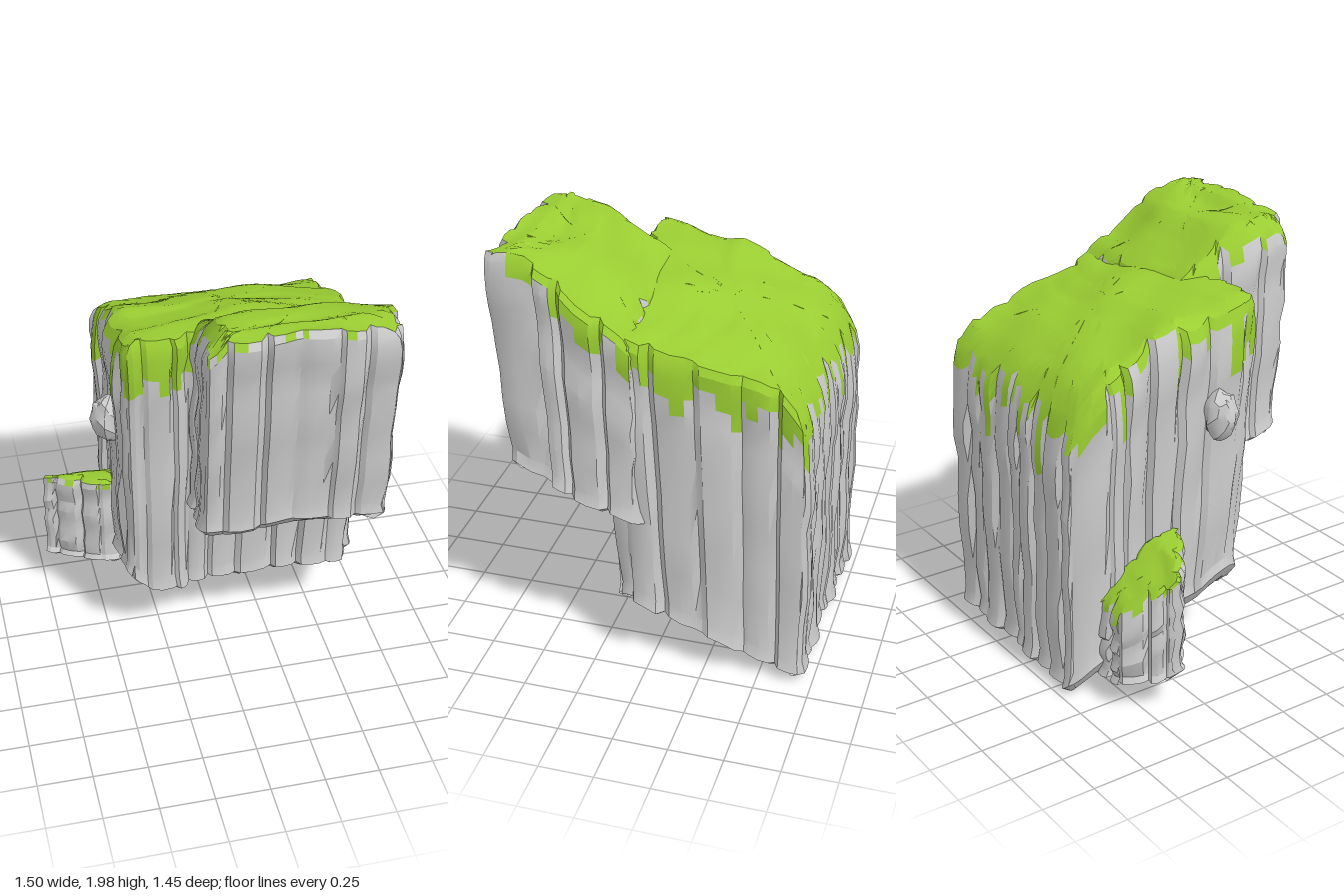
import * as THREE from 'three';
import { toCreasedNormals } from 'three/addons/utils/BufferGeometryUtils.js';

const rockMat = new THREE.MeshStandardMaterial({ color: 0xcccccc });
const mossMat = new THREE.MeshStandardMaterial({ color: 0x9acd32 });
const { lerp, smoothstep, clamp } = THREE.MathUtils;

// small seeded random generator
function seeded(seed) {
  return () => {
    seed = (seed * 16807) % 2147483647;
    return seed / 2147483647;
  };
}

// piecewise linear curve through [position, value] pairs, rising in position
function curve(points) {
  return (p) => {
    let i = 1;
    while (i < points.length - 1 && p > points[i][0]) i++;
    const [p0, v0] = points[i - 1], [p1, v1] = points[i];
    return lerp(v0, v1, clamp((p - p0) / (p1 - p0), 0, 1));
  };
}

// uneven ground: soft bumps plus low ledges running across
const bumps = (x, z) => 0.01 * Math.sin(11 * x + 3 * z) * Math.sin(4 * x - 13 * z)
  + 0.008 * Math.tanh(3 * Math.sin(17 * z + 1.5 * Math.sin(5 * x)));

// Walk the outline and cut it into upright stone columns of uneven width and depth
function makeColumns(outline, width, rand, drip) {
  const samples = [];
  outline.forEach(([x0, z0], k) => {
    const [x1, z1] = outline[(k + 1) % outline.length];
    const length = Math.hypot(x1 - x0, z1 - z0);
    const nx = -(z1 - z0) / length, nz = (x1 - x0) / length;
    const count = Math.max(1, Math.round(length / width));
    const cuts = Array.from({ length: count + 1 }, (_, i) => (i === 0 || i === count ? i : i + (rand() - 0.5) * 0.7) / count);
    for (let c = 0; c < count; c++) {
      const depth = (rand() - 0.55) * 0.03, groove = 0.012 + rand() * 0.028, phase = rand() * 6;
      for (const [u, cut] of [[0.03, groove], [0.17, 0.005], [0.5, 0], [0.82, 0.007]]) {
        const f = lerp(cuts[c], cuts[c + 1], u);
        const x = lerp(x0, x1, f), z = lerp(z0, z1, f);
        samples.push({ x, z, nx, nz, offset: depth - cut, phase, drip: drip(x, z, rand()) });
      }
    }
  });
  return samples;
}

// A fluted block: rings run from the middle of the underside, up the wall, to the middle of the top
function makeBlock(name, { outline, width, seed, top, bottom, lean, taper, reach, drip, buried }) {
  const cols = makeColumns(outline, width, seeded(seed), drip);
  const xs = outline.map((p) => p[0]), zs = outline.map((p) => p[1]);
  const zMin = Math.min(...zs), zMax = Math.max(...zs);
  const cx = (Math.min(...xs) + Math.max(...xs)) / 2, cz = (zMin + zMax) / 2;

  // each ring sits a height above the underside, between both ends, or a depth below the top
  const rings = [];
  for (const scale of [0, 0.3, 0.6, 0.85]) rings.push({ above: 0, inset: 0.035, scale });
  rings.push({ above: 0, inset: 0.035 }, { above: 0.03, inset: -0.008 }, { above: 0.09, inset: 0.008 });
  for (const mid of [0.22, 0.42, 0.62, 0.82]) rings.push({ mid });
  for (const below of [0.34, 0.26, 0.18, 0.1]) rings.push({ below });
  rings.push({ below: 0.035, inset: 0.008 });
  const rim = rings.length;
  rings.push({ below: 0, inset: 0.03 });
  for (const scale of [0.95, 0.88, 0.8, 0.72, 0.63, 0.54, 0.45, 0.36, 0.26, 0.13, 0]) rings.push({ below: 0, inset: 0.03, scale });

  const place = ({ above, mid, below, inset = 0, scale = 1 }, c) => {
    const wobble = scale < 1 ? 0 : 0.009 * Math.sin(c.phase + (mid ?? 0) * 9 + (below ?? 0) * 14);
    const d = c.offset + wobble - inset;
    const x = cx + (c.x + c.nx * d - cx) * scale;
    const z = cz + (c.z + c.nz * d - cz) * scale;
    const yTop = top(x, z) + bumps(x, z), yBottom = Math.max(0, bottom(x, z) + bumps(x, z));
    let y = lerp(yBottom + 0.09 * reach, yTop - 0.34 * reach, mid ?? 0);
    if (above !== undefined) y = yBottom + above * reach;
    if (below !== undefined) y = yTop - below * reach;
    const fall = 1 - (y - yBottom) / (yTop - yBottom);
    return [x - (x - cx) * taper * fall, y, z + lean * fall * (z - zMin) / (zMax - zMin)];
  };
  const grid = rings.map((ring) => cols.map((c) => place(ring, c)));

  // sort the quads into bare stone and moss, leaving out those inside a neighbouring block
  const rock = [], moss = [];
  for (let i = 0; i < rings.length - 1; i++) {
    for (let j = 0; j < cols.length; j++) {
      const n = (j + 1) % cols.length;
      const a = grid[i][j], b = grid[i][n], c = grid[i + 1][n], d = grid[i + 1][j];
      if ([a, b, c, d].every((p) => buried(...p))) continue;
      const list = i >= rim || rings[i].below <= cols[j].drip ? moss : rock;
      if (rings[i].scale !== 0) list.push(...a, ...b, ...c);
      if (rings[i + 1].scale !== 0) list.push(...a, ...c, ...d);
    }
  }
  const group = new THREE.Group();
  group.name = name;
  for (const [part, list, mat] of [['Stone', rock, rockMat], ['Moss', moss, mossMat]]) {
    const geo = new THREE.BufferGeometry();
    geo.setAttribute('position', new THREE.Float32BufferAttribute(list, 3));
    const mesh = new THREE.Mesh(toCreasedNormals(geo, 0.45), mat);
    mesh.name = name + part;
    group.add(mesh);
  }
  return group;
}

// A lumpy stone stuck to the wall
function makeKnob() {
  const geo = new THREE.IcosahedronGeometry(1, 2);
  const p = geo.attributes.position;
  for (let i = 0; i < p.count; i++) {
    const x = p.getX(i), y = p.getY(i), z = p.getZ(i);
    const k = 1 + 0.15 * Math.sin(5 * x + 4 * y) * Math.cos(4 * z - 3 * y);
    p.setXYZ(i, x * k * 0.075, y * k * 0.115, z * k * 0.075);
  }
  const mesh = new THREE.Mesh(toCreasedNormals(geo, 0.5), rockMat);
  mesh.name = 'wallKnob';
  mesh.position.set(-0.465, 1.245, 0.03);
  return mesh;
}

export function createModel() {
  const group = new THREE.Group();
  group.name = 'mossyCliff';

  // tall body with sloping top and underside
  const bodyTop = curve([[-0.72, 1.25], [-0.68, 1.34], [-0.6, 1.46], [-0.47, 1.56], [-0.28, 1.63], [-0.15, 1.69], [0.27, 1.76]]);
  const bodyBottom = curve([[-0.7, 0.01], [-0.6, 0.03], [-0.34, 0.13], [-0.07, 0.25], [0.2, 0.31]]);
  group.add(makeBlock('cliffBody', {
    outline: [[-0.42, 0.27], [-0.2, 0.27], [-0.14, 0.24], [0.68, 0.25], [0.72, 0.15], [0.73, 0], [0.725, -0.2], [0.69, -0.4], [0.68, -0.71],
      [0.3, -0.71], [-0.05, -0.72], [-0.4, -0.71], [-0.46, -0.52], [-0.43, -0.3], [-0.455, -0.15], [-0.43, 0], [-0.455, 0.2]],
    width: 0.14, seed: 41, lean: -0.085, taper: 0.04, reach: 1,
    top: (x, z) => bodyTop(z) - 0.07 * smoothstep(x, 0.1, 0.7) * smoothstep(z, -0.6, -0.2) - Math.max(0, -0.36 - x) * 0.6,
    bottom: (x, z) => bodyBottom(z) + Math.max(0, -0.34 - x) * 0.9,
    drip: (x, z, r) => {
      if (z > 0.2 && x < -0.12) return r > 0.4 ? 0.27 : 0.19;
      if (x > 0.66) return r > 0.8 ? 0.27 : r > 0.35 ? 0.19 : 0.11;
      return r > 0.92 ? 0.27 : r > 0.8 ? 0.11 : r > 0.3 ? 0.04 : 0;
    },
    buried: (x, y, z) => x > -0.09 && x < 0.7 && z > 0.14 && y > 0.92,
  }));

  // overhanging block at the upper front
  const hangTop = curve([[0.03, 1.66], [0.12, 1.75], [0.24, 1.83], [0.37, 1.92], [0.52, 1.95], [0.58, 1.985], [0.73, 1.965]]);
  const hangBottom = curve([[0.04, 0.75], [0.3, 0.83], [0.52, 0.88], [0.68, 0.95]]);
  group.add(makeBlock('overhang', {
    outline: [[-0.15, 0.65], [0.1, 0.69], [0.4, 0.71], [0.69, 0.73], [0.71, 0.5], [0.735, 0.2], [0.73, 0.03],
      [-0.13, 0.05], [-0.12, 0.3], [-0.15, 0.5]],
    width: 0.16, seed: 97, lean: -0.085, taper: 0, reach: 0.9,
    top: (x, z) => hangTop(z) - Math.max(0, -0.05 - x) * 1.1 - 0.06 * smoothstep(x, 0.4, 0.72) * smoothstep(-z, -0.6, -0.2),
    bottom: (x, z) => hangBottom(z),
    drip: (x, z, r) => (x > 0.68 && z < 0.65 ? (r > 0.8 ? 0.19 : r > 0.3 ? 0.11 : 0.04) : r > 0.5 ? 0.04 : 0),
    buried: (x, y, z) => x < 0.67 && z < 0.19 && y < 1.69 - Math.max(0, x) * 0.07,
  }));

  // low block at the side, its top falling away to the back
  const sideTop = curve([[-0.6, 0.46], [-0.45, 0.62], [-0.32, 0.71], [-0.17, 0.72]]);
  group.add(makeBlock('sideBlock', {
    outline: [[-0.75, -0.37], [-0.49, -0.17], [-0.38, -0.17], [-0.38, -0.6], [-0.58, -0.61], [-0.67, -0.5]],
    width: 0.1, seed: 1234, lean: 0, taper: 0, reach: 0.45,
    top: (x, z) => sideTop(z),
    bottom: (x, z) => 0.255 + (z + 0.2) * 0.33 - (x + 0.74) * 0.1,
    drip: (x, z, r) => (r > 0.7 ? 0.1 : 0.04),
    buried: (x) => x > -0.41,
  }));

  group.add(makeKnob());
  return group;
}
